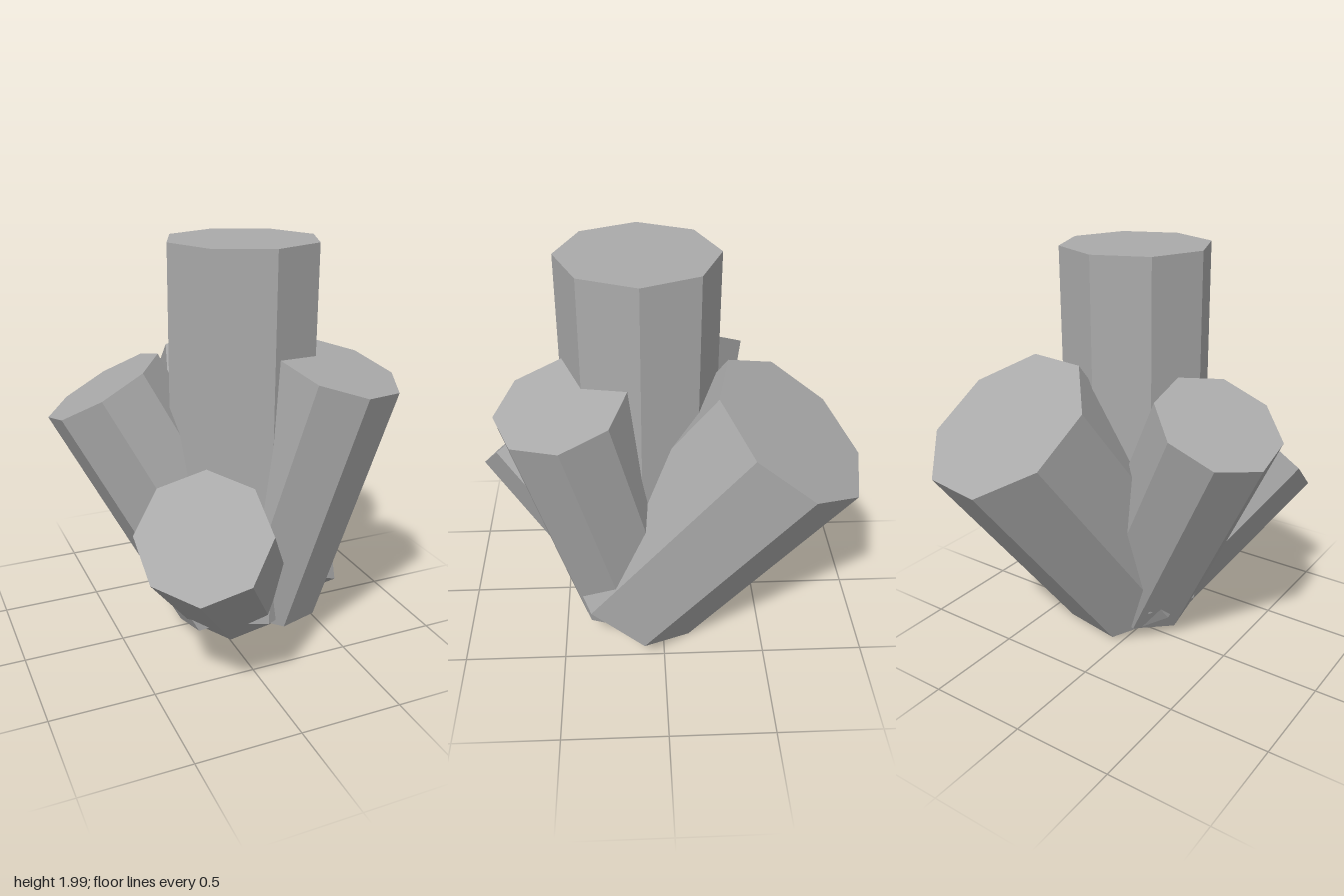
import * as THREE from 'three';

// Each crystal: centre of its top, two perpendicular rim radii, and the run down to its base.
const CRYSTALS = [
  { name: 'centreCrystal', top: [0.1, 2, 0.1], u: [0.36, 0, 0], w: [0, 0, 0.36], down: [0, -1.785, 0] },
  { name: 'largeBackCrystal', top: [0.355, 1.27, -0.575], u: [-0.105, -0.22, -0.345], w: [0.405, -0.11, -0.045], down: [-0.2, -1.03, 0.72] },
  { name: 'frontLeftCrystal', top: [0.42, 1.46, 0.443], u: [0.29, -0.06, -0.005], w: [-0.01, -0.065, 0.29], down: [-0.225, -1.22, -0.28] },
  { name: 'rightCrystal', top: [-0.505, 1.315, -0.145], u: [0.255, 0.145, 0.065], w: [-0.085, 0.015, 0.285], down: [0.57, -1.11, 0.23] },
  { name: 'frontRightCrystal', top: [-0.33, 0.873, 0.687], u: [0.09, 0.217, -0.187], w: [0.265, 0.008, 0.135], down: [0.415, -0.635, -0.63] },
];

// Eight-sided prism stretched onto the given radii and axis, with flat faces.
function crystal({ name, top, u, w, down }, material) {
  const v = (p) => new THREE.Vector3(...p);
  const matrix = new THREE.Matrix4()
    .makeBasis(v(u), v(down).negate(), v(w))
    .setPosition(v(top).addScaledVector(v(down), 0.5));
  const geometry = new THREE.CylinderGeometry(1, 1, 1, 8).toNonIndexed();
  geometry.applyMatrix4(matrix);
  geometry.computeVertexNormals();
  const mesh = new THREE.Mesh(geometry, material);
  mesh.name = name;
  return mesh;
}

export function createModel() {
  const group = new THREE.Group();
  group.name = 'crystalCluster';
  const grey = new THREE.MeshStandardMaterial({ color: 0xaaaaaa });
  grey.name = 'stone grey';
  for (const spec of CRYSTALS) group.add(crystal(spec, grey));
  return group;
}
